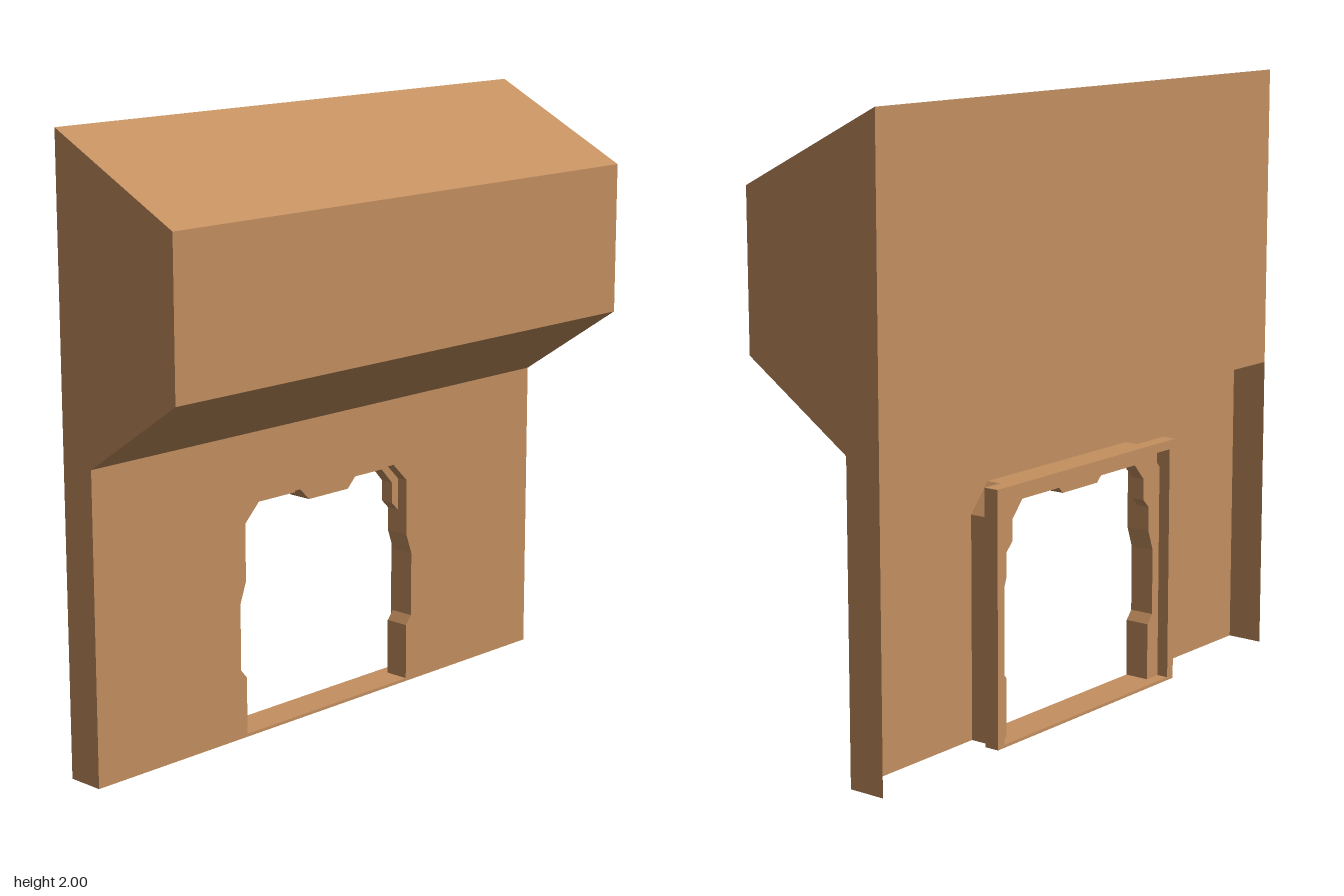
import * as THREE from 'three';

const BACK = -0.25, WALL = -0.125;
const material = new THREE.MeshStandardMaterial({ color: 0xc49060, flatShading: true, side: THREE.DoubleSide });
const pts = (list) => list.map(([x, y]) => new THREE.Vector2(x, y));

// Half outline (from bottom to centre) mirrored into a closed loop
const mirrored = (half) => pts([...half, ...half.map(([z, y]) => [-z, y]).reverse()]);
const rect = (w, y0, y1) => mirrored([[w, y0], [w, y1]]);

function add(group, name, geometry) {
  const mesh = new THREE.Mesh(geometry, material);
  mesh.name = name;
  group.add(mesh);
}

// Outline in the z-y plane with a hole, extruded along x from x0 to x1
function layer(outer, hole, x0, x1) {
  const shape = new THREE.Shape(outer);
  shape.holes.push(new THREE.Path(hole));
  const geo = x1 > x0
    ? new THREE.ExtrudeGeometry(shape, { depth: x1 - x0, bevelEnabled: false })
    : new THREE.ShapeGeometry(shape);
  return geo.rotateY(Math.PI / 2).translate(x0, 0, 0);
}

export function createModel() {
  const model = new THREE.Group();
  model.name = 'wallPanel';

  // Overhanging upper block with sloped top and underside
  const profile = new THREE.Shape(pts([[BACK, 1], [WALL, 1], [0.25, 1.25], [0.25, 1.75], [BACK, 2]]));
  add(model, 'upperBlock', new THREE.ExtrudeGeometry(profile, { depth: 2, bevelEnabled: false }).translate(0, 0, -1));

  // Doorway outlines: the wide front one and the tighter one behind it
  const jamb = [[0.375, 0.01], [0.375, 0.2], [0.4, 0.23], [0.4, 0.45], [0.375, 0.52]];
  const head = [[0.13, 0.775], [0.09, 0.735]];
  const front = mirrored([...jamb, [0.375, 0.71], [0.31, 0.775], ...head]);
  const rear = mirrored([...jamb, [0.375, 0.6], [0.345, 0.63], [0.345, 0.7], [0.295, 0.755], [0.11, 0.755], [0.09, 0.735]]);

  // Thin lower wall, open at the back and bottom
  add(model, 'lowerWall', layer(rect(1, 0, 1), front, WALL, WALL));
  for (const side of [-1, 1]) {
    const end = new THREE.PlaneGeometry(WALL - BACK, 1);
    if (side < 0) end.rotateY(Math.PI);
    add(model, 'endReturn', end.translate((BACK + WALL) / 2, 0.5, side));
  }

  // Door surround: stepped liner and rectangular rear casing
  const body = mirrored([[0.44, 0], [0.44, 0.72], [0.36, 0.81]]);
  add(model, 'frontLiner', layer(body, front, -0.165, WALL));
  add(model, 'rearLiner', layer(body, rear, -0.21, -0.165));
  add(model, 'rearCasing', layer(rect(0.467, 0, 0.82), rect(0.435, 0.01, 0.79), BACK, -0.2));

  return model;
}
